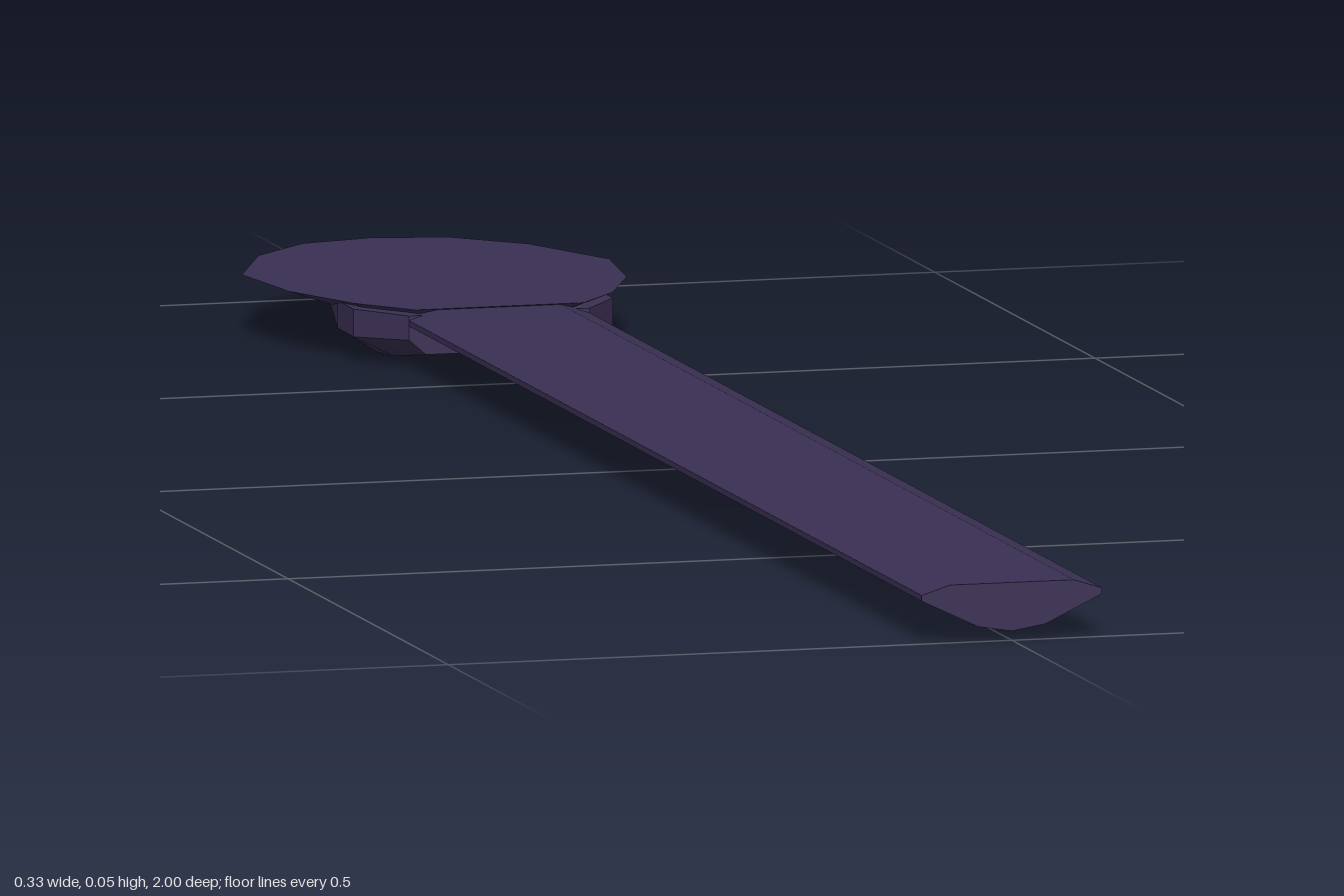
import * as THREE from 'three';

const plum = new THREE.MeshStandardMaterial({ color: 0x3a3053, flatShading: true });
plum.name = 'dark plum';

// Skins a closed solid through equal-length rings of [x, y, z] points.
function loft(name, rings) {
  const n = rings[0].length, tris = [];
  for (let r = 0; r < rings.length - 1; r++) {
    for (let i = 0; i < n; i++) {
      const j = (i + 1) % n, a = rings[r], b = rings[r + 1];
      tris.push([a[i], a[j], b[j]], [a[i], b[j], b[i]]);
    }
  }
  const first = rings[0], last = rings[rings.length - 1];
  for (let i = 1; i < n - 1; i++) {
    tris.push([first[0], first[i + 1], first[i]], [last[0], last[i], last[i + 1]]);
  }
  // Turn every face outward, whichever way the rings run.
  const v = p => new THREE.Vector3(...p);
  const volume = tris.reduce((s, t) => s + v(t[0]).dot(v(t[1]).cross(v(t[2]))), 0);
  if (volume < 0) tris.forEach(t => t.reverse());
  const geometry = new THREE.BufferGeometry();
  geometry.setAttribute('position', new THREE.Float32BufferAttribute(tris.flat(2), 3));
  geometry.computeVertexNormals();
  const mesh = new THREE.Mesh(geometry, plum);
  mesh.name = name;
  return mesh;
}

// Adds the mirrored half of a right-hand outline.
const mirror = half => [...half, ...half.filter(p => p[0] > 0).reverse().map(([x, y]) => [-x, y])];

export function createModel() {
  const group = new THREE.Group();
  group.name = 'paddle';

  // Long handle with chamfered top edges and a shallow keel below
  const section = mirror([[0, 0.008], [0.03, 0.013], [0.08, 0.037], [0.08, 0.042], [0.055, 0.05]]);
  group.add(loft('handle', [1, -0.63].map(z => section.map(([x, y]) => [x, y, z]))));

  // Flat oval head, bevelled inward underneath
  const oval = mirror([[0, -1], [0.065, -0.985], [0.12, -0.93], [0.163, -0.83],
    [0.15, -0.73], [0.115, -0.65], [0.075, -0.6]]);
  group.add(loft('head', [
    oval.map(([x, z]) => [x, 0.051, z]),
    oval.map(([x, z]) => [x * 0.7, 0.035, -0.8 + (z + 0.8) * 0.85]),
  ]));

  // Two wedge-shaped shoulders under the neck
  for (const side of [1, -1]) {
    const rings = [
      [-0.6, [[0.03, 0.012], [0.065, 0.012], [0.08, 0.025], [0.08, 0.046], [0.03, 0.046]]],
      [-0.65, [[0.038, 0.004], [0.08, 0.004], [0.115, 0.022], [0.115, 0.046], [0.038, 0.046]]],
      [-0.7, [[0.045, 0], [0.08, 0], [0.115, 0.022], [0.115, 0.046], [0.045, 0.046]]],
      [-0.76, [[0.045, 0.033], [0.08, 0.033], [0.105, 0.036], [0.105, 0.046], [0.045, 0.046]]],
    ].map(([z, pts]) => pts.map(([x, y]) => [x * side, y, z]));
    group.add(loft(side > 0 ? 'leftShoulder' : 'rightShoulder', rings));
  }
  return group;
}
